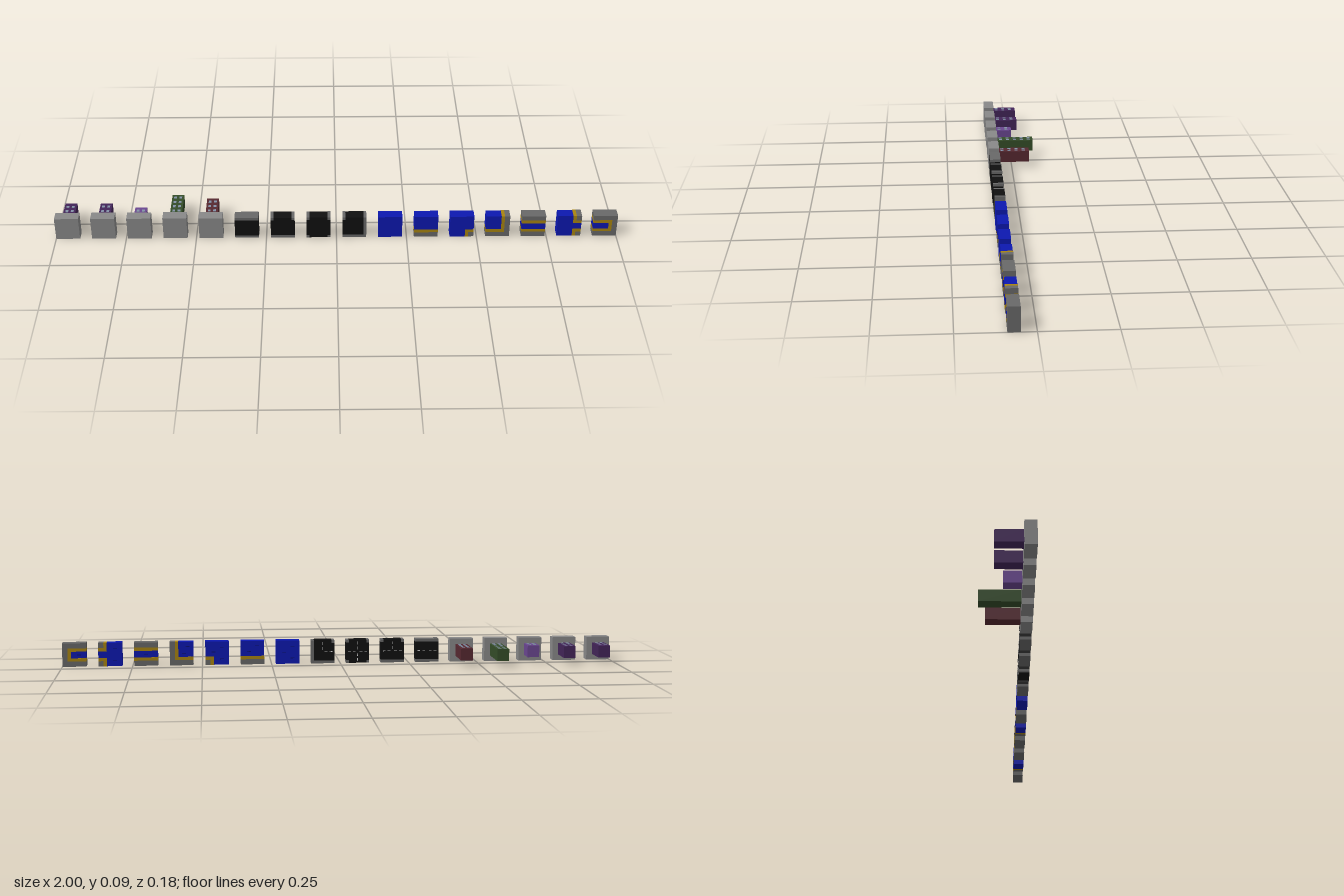
import * as THREE from 'three';

const COUNT = 16, SIZE = 0.085, PITCH = (2 - SIZE) / (COUNT - 1);
const BACK = 0.05, FRONT = 0.09; // tiles stand upright, their decorated top faces -z

const mat = (color) => new THREE.MeshStandardMaterial({ color });
const paint = {
  G: mat(0x686868), // pavement / bank
  K: mat(0x101010), // asphalt
  B: mat(0x0c18b0), // water
  Y: mat(0xa88410), // sand
};
const partName = { G: 'bank', K: 'road', B: 'water', Y: 'shore' };
const slab = mat(0x888888), white = mat(0xdddddd), ripple = mat(0x081070), glass = mat(0x8492a8);

// Box given by its minimum and maximum corners
function box(parent, name, material, x0, y0, z0, x1, y1, z1) {
  const mesh = new THREE.Mesh(new THREE.BoxGeometry(x1 - x0, y1 - y0, z1 - z0), material);
  mesh.position.set((x0 + x1) / 2, (y0 + y1) / 2, (z0 + z1) / 2);
  mesh.name = name;
  parent.add(mesh);
}

// Tile built from a letter map (first row on top) over uneven grid lines
function mapTile(parent, rows, lines) {
  const n = rows.length, L = lines.map((v) => v * SIZE);
  for (let r = 0; r < n;) {
    let r2 = r + 1;
    while (r2 < n && rows[r2] === rows[r]) r2++;
    for (let c = 0; c < n;) {
      const key = rows[r][c];
      let c2 = c + 1;
      while (c2 < n && rows[r][c2] === key) c2++;
      const sunk = key === 'B' || key === 'K' ? 0.001 : 0;
      box(parent, partName[key], paint[key], L[c] - SIZE / 2, L[n - r2], BACK + sunk,
        L[c2] - SIZE / 2, L[n - r], FRONT);
      c = c2;
    }
    r = r2;
  }
}

// Tower rising towards -z with two columns of windows on its upper side
function tower(parent, color, top, floors) {
  const w = 0.0215, mid = SIZE / 2;
  box(parent, 'tower', mat(color), -w, mid - w, top, w, mid + w, BACK);
  for (let i = 0; i < floors; i++) {
    const z = 0.0375 - i * 0.0276;
    for (const x of [-0.0095, 0.0095]) {
      box(parent, 'window', glass, x - 0.005, mid + w - 0.001, z - 0.006, x + 0.005, mid + w + 0.001, z + 0.006);
    }
  }
}

// Lane dashes from the middle towards each open side
function laneMarks(parent, arms) {
  const mid = SIZE / 2;
  for (const [dx, dy] of arms) {
    for (const d of [0.012, 0.03]) {
      const x = dx * d, y = mid + dy * d;
      const hx = dx ? 0.005 : 0.0012, hy = dy ? 0.005 : 0.0012;
      box(parent, 'laneMark', white, x - hx, y - hy, BACK - 0.0005, x + hx, y + hy, BACK + 0.002);
    }
  }
}

// Short ripples on the water
function ripples(parent, spots) {
  for (const [u, v] of spots) {
    const x = (u - 0.5) * SIZE, y = v * SIZE;
    box(parent, 'ripple', ripple, x - 0.007, y - 0.0012, BACK - 0.0005, x + 0.007, y + 0.0012, BACK + 0.002);
  }
}

const TOWERS = [
  [0x422458, -0.04, 3], [0x422458, -0.04, 3], [0x6a4690, -0.011, 2],
  [0x344c28, -0.09, 5], [0x562830, -0.067, 4],
];

const W = [-1, 0], E = [1, 0], N = [0, 1], S = [0, -1];
const ROAD_LINES = [0, 0.12, 0.88, 1];
const ROADS = [
  [['GGG', 'KKK', 'GGG'], [W, E]],
  [['GKG', 'KKK', 'GGG'], [W, E, N]],
  [['GKG', 'KKK', 'GKG'], [W, E, N, S]],
  [['GKG', 'KKG', 'GGG'], [W, N]],
];

const WATER_LINES = [0, 0.22, 0.36, 0.64, 0.78, 1];
const WATERS = [
  [['BBBBB', 'BBBBB', 'BBBBB', 'BBBBB', 'BBBBB'], [[0.3, 0.75], [0.65, 0.5], [0.3, 0.25]]],
  [['BBBBB', 'BBBBB', 'BBBBB', 'YYYYY', 'GGGGG'], [[0.3, 0.8], [0.65, 0.55]]],
  [['BBBBB', 'BBBBB', 'BBBBB', 'BBBYY', 'BBBYG'], [[0.3, 0.75], [0.65, 0.55], [0.3, 0.25]]],
  [['BBBYG', 'BBBYG', 'BBBYG', 'YYYYG', 'GGGGG'], [[0.25, 0.8], [0.4, 0.5]]],
  [['GGGGG', 'YYYYY', 'BBBBB', 'YYYYY', 'GGGGG'], [[0.5, 0.5]]],
  [['BBBYG', 'BBBYY', 'BBBBB', 'BBBYY', 'BBBYG'], [[0.3, 0.75], [0.3, 0.25]]],
  [['GGGGG', 'YYYYG', 'BBBYG', 'YYYYG', 'GGGGG'], [[0.3, 0.5]]],
];

export function createModel() {
  const model = new THREE.Group();
  model.name = 'cityTiles';
  for (let i = 0; i < COUNT; i++) {
    const tile = new THREE.Group();
    tile.position.x = -1 + SIZE / 2 + i * PITCH;
    if (i < 5) {
      tile.name = 'towerTile';
      box(tile, 'slab', slab, -SIZE / 2, 0, BACK, SIZE / 2, SIZE, FRONT);
      tower(tile, ...TOWERS[i]);
    } else if (i < 9) {
      tile.name = 'roadTile';
      const [rows, arms] = ROADS[i - 5];
      mapTile(tile, rows, ROAD_LINES);
      laneMarks(tile, arms);
    } else {
      tile.name = 'waterTile';
      const [rows, spots] = WATERS[i - 9];
      mapTile(tile, rows, WATER_LINES);
      ripples(tile, spots);
    }
    model.add(tile);
  }
  return model;
}
